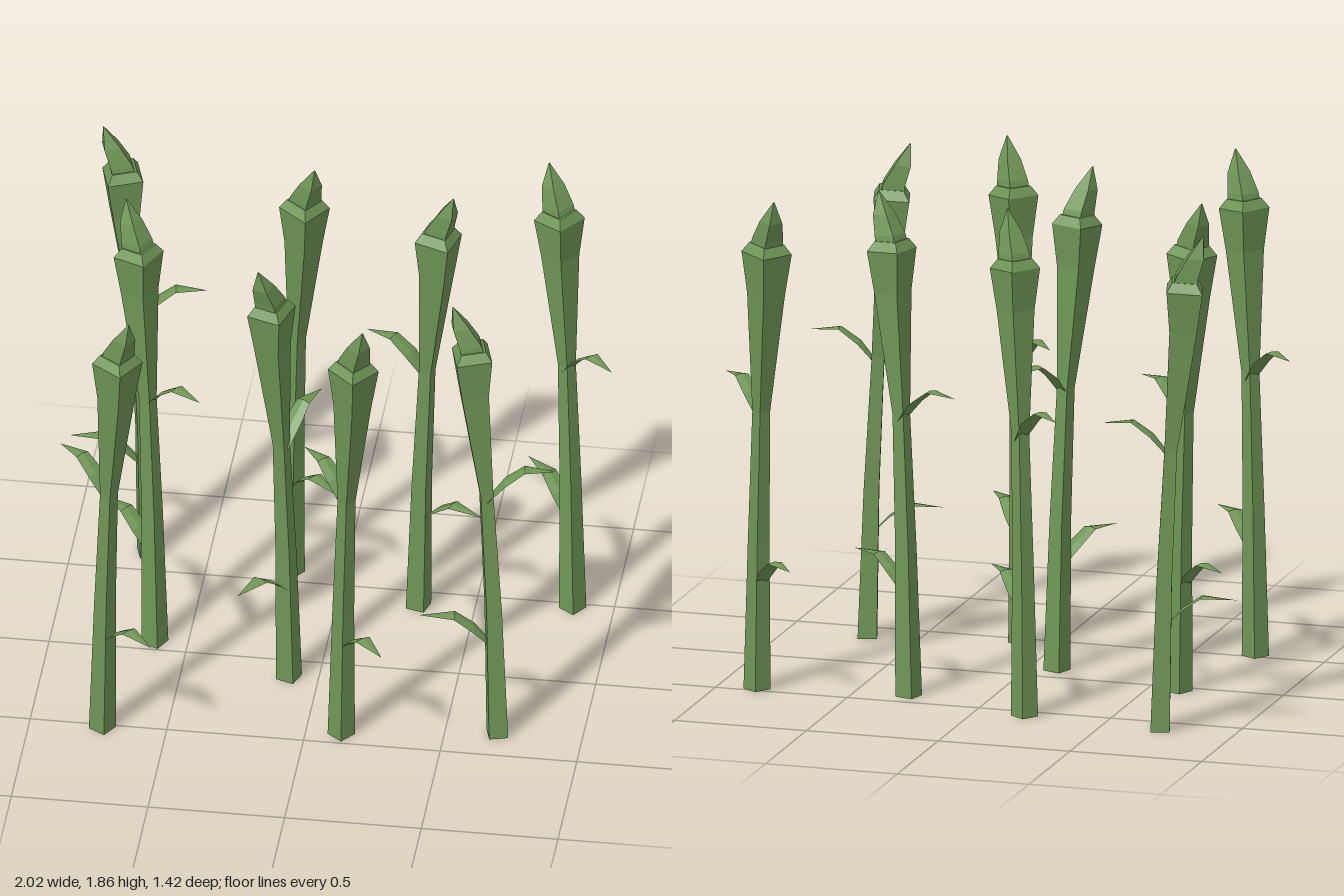
import * as THREE from 'three';

const green = new THREE.MeshStandardMaterial({ color: 0x6f9656, flatShading: true });
const leafGreen = new THREE.MeshStandardMaterial({ color: 0x6f9656, flatShading: true, side: THREE.DoubleSide });

function build(positions, index) {
  const g = new THREE.BufferGeometry();
  g.setAttribute('position', new THREE.Float32BufferAttribute(positions, 3));
  g.setIndex(index);
  const flat = g.toNonIndexed();
  flat.computeVertexNormals();
  return flat;
}

// Square column through rings of [height, sideways lean, side length];
// rings tilt slightly with the lean
function column(rings) {
  const pos = [], idx = [];
  rings.forEach(([y, lean, side], i) => {
    for (let k = 0; k < 4; k++) {
      const a = Math.PI / 4 + k * Math.PI / 2 - 0.17;
      const r = side * Math.SQRT1_2;
      const dx = r * Math.cos(a);
      pos.push(lean + dx, y - dx * lean * 0.8, lean * 0.1 + r * Math.sin(a));
      if (i > 0) {
        const n = (k + 1) % 4, lo = (i - 1) * 4, hi = i * 4;
        idx.push(lo + k, hi + k, lo + n, lo + n, hi + k, hi + n);
      }
    }
  });
  const t = (rings.length - 1) * 4;
  idx.push(0, 1, 2, 0, 2, 3, t, t + 2, t + 1, t, t + 3, t + 2);
  return build(pos, idx);
}

// Bent leaf with a shallow centre fold, through points of [x, y, width]
function leaf(points) {
  const pos = [], idx = [];
  points.forEach(([x, y, w], i) => {
    const z = -0.015 * i / (points.length - 1);
    pos.push(x, y - w * 0.1, z - w / 2, x, y, z, x, y - w * 0.1, z + w / 2);
    if (i > 0) {
      for (let k = 0; k < 2; k++) {
        const a = (i - 1) * 3 + k, b = i * 3 + k;
        idx.push(a, a + 1, b, b, a + 1, b + 1);
      }
    }
  });
  return build(pos, idx);
}

export function createModel() {
  const model = new THREE.Group();
  model.name = 'shoots';

  const stemGeo = column([
    [0, 0, 0.07], [0.55, -0.015, 0.056], [1.05, -0.04, 0.046],
    [1.5, -0.086, 0.098], [1.655, -0.092, 0.13], [1.69, -0.092, 0.09],
  ]);
  const spireGeo = column([
    [1.67, -0.092, 0.085], [1.71, -0.102, 0.08], [1.78, -0.134, 0.058], [1.86, -0.162, 0.003],
  ]);
  const upperGeo = leaf([
    [-0.035, 1.03, 0.045], [0.03, 1.11, 0.07], [0.1, 1.16, 0.055], [0.215, 1.145, 0],
  ]);
  const lowerGeo = leaf([
    [-0.03, 0.405, 0.045], [-0.085, 0.465, 0.07], [-0.155, 0.513, 0.06], [-0.285, 0.503, 0],
  ]);

  // Base x, base z, and direction of the upper leaf (x, z)
  const shoots = [
    [-0.722, -0.612, 0.49, -0.06], [-0.192, -0.562, -0.34, -0.34], [0.295, -0.41, -0.44, -0.21],
    [0.85, -0.475, 0.35, 0.35], [-0.62, -0.052, 0.39, 0.29], [-0.108, 0.105, 0.24, -0.42],
    [-0.733, 0.518, -0.37, -0.32], [0.13, 0.44, -0.32, -0.36], [0.69, 0.36, 0.49, -0.05],
  ];
  for (const [x, z, dx, dz] of shoots) {
    const shoot = new THREE.Group();
    shoot.name = 'shoot';
    const parts = [
      ['stem', stemGeo, green], ['tip', spireGeo, green],
      ['upperLeaf', upperGeo, leafGreen], ['lowerLeaf', lowerGeo, leafGreen],
    ];
    for (const [name, geo, mat] of parts) {
      const mesh = new THREE.Mesh(geo, mat);
      mesh.name = name;
      shoot.add(mesh);
    }
    shoot.position.set(x, 0, z);
    shoot.rotation.y = -Math.atan2(dz, dx);
    model.add(shoot);
  }
  return model;
}
